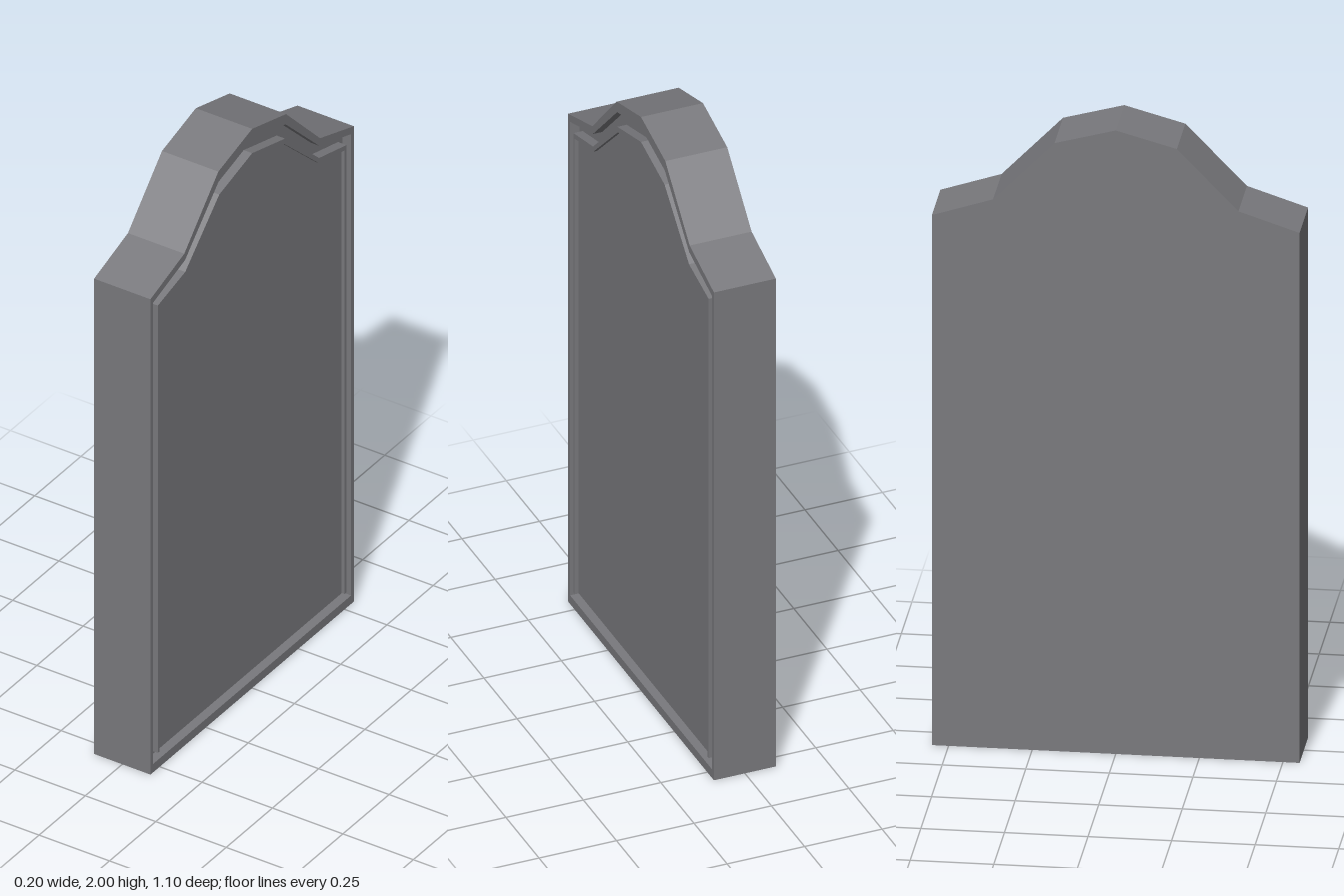
import * as THREE from 'three';

const material = new THREE.MeshStandardMaterial({ color: 0x79797d, flatShading: true });

// Symmetric arched outline: half profile from the shoulder to the apex, mirrored
function outline(base, half, apex) {
  const right = [[half[0][0], base], ...half];
  const left = right.map(([u, v]) => [-u, v]).reverse();
  return [...right, [0, apex], ...left].map(([u, v]) => new THREE.Vector2(u, v));
}

const outer = outline(0, [[0.55, 1.7], [0.367, 1.76], [0.183, 1.95]], 2);
const rimInner = outline(0.03, [[0.535, 1.68], [0.363, 1.735], [0.18, 1.915]], 1.963);
const panelOuter = outline(0.055, [[0.51, 1.655], [0.362, 1.692], [0.178, 1.865]], 1.913);
const panelInner = outline(0.055, [[0.5, 1.641], [0.36, 1.675], [0.175, 1.847]], 1.897);

// Extrudes an outline (optionally hollow) between two x positions
function slab(name, points, x0, x1, hole) {
  const shape = new THREE.Shape(points);
  if (hole) shape.holes.push(new THREE.Path(hole));
  const geometry = new THREE.ExtrudeGeometry(shape, { depth: x1 - x0, bevelEnabled: false });
  geometry.rotateY(Math.PI / 2).translate(x0, 0, 0);
  const mesh = new THREE.Mesh(geometry, material);
  mesh.name = name;
  return mesh;
}

export function createModel() {
  const group = new THREE.Group();
  group.name = 'archedPanel';
  group.add(
    slab('body', outer, -0.1, 0.07),
    // Raised edge with a groove inside it
    slab('rim', outer, 0.07, 0.1, rimInner),
    // Bead along the sides and arch, open at the bottom
    slab('bead', [...panelOuter, ...[...panelInner].reverse()], 0.07, 0.1),
    slab('facePanel', panelInner, 0.07, 0.088),
  );
  return group;
}
